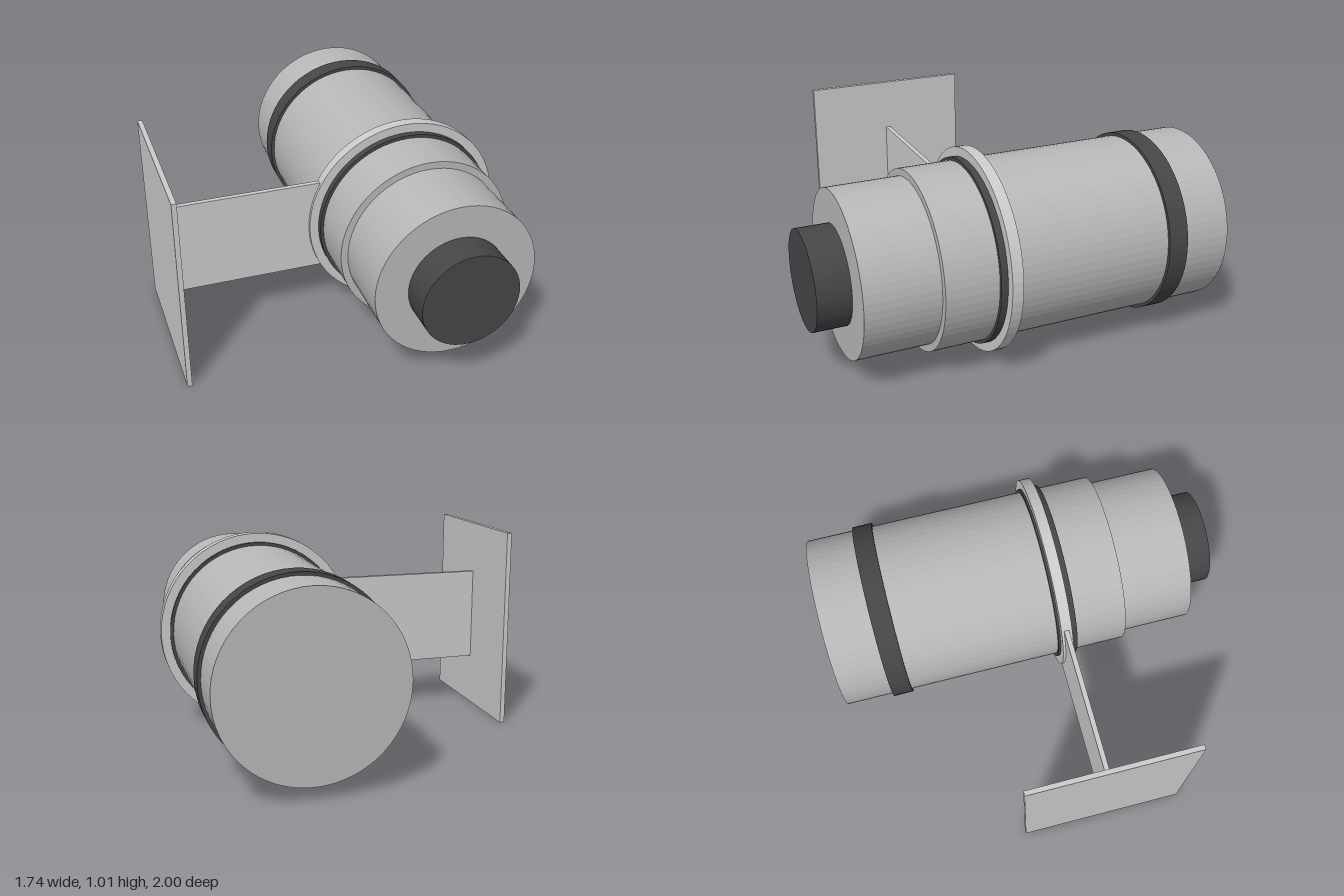
import * as THREE from 'three';

const AXIS_X = 0.37, AXIS_Y = 0.504;

export function createModel() {
  const group = new THREE.Group();
  const material = (color) => new THREE.MeshStandardMaterial({ color, flatShading: true });
  const bodyGrey = material(0xb8b8b8);
  const mountGrey = material(0xcccccc);
  const dark = material(0x444648);

  function add(name, geometry, mat, x, y, z) {
    const mesh = new THREE.Mesh(geometry, mat);
    mesh.name = name;
    mesh.position.set(x, y, z);
    group.add(mesh);
  }

  // Solid disc or barrel along z, centred on the tube axis
  function barrel(name, radius, z0, z1, mat) {
    const geometry = new THREE.CylinderGeometry(radius, radius, z1 - z0, 64);
    geometry.rotateX(Math.PI / 2);
    add(name, geometry, mat, AXIS_X, AXIS_Y, (z0 + z1) / 2);
  }

  // Stepped tube
  barrel('mainBarrel', 0.437, -1, 0.48, bodyGrey);
  barrel('frontBarrel', 0.402, 0.48, 0.84, bodyGrey);
  barrel('frontCap', 0.24, 0.84, 1, dark);

  // Bands and mounting ring around the tube
  barrel('rearBand', 0.453, -0.76, -0.66, dark);
  barrel('ringSeal', 0.453, 0.12, 0.22, dark);
  barrel('mountRing', 0.498, 0.132, 0.187, mountGrey);

  // Side bracket
  add('bracketArm', new THREE.BoxGeometry(0.775, 0.48, 0.025), mountGrey, -0.4575, AXIS_Y, 0.158);
  add('mountPlate', new THREE.BoxGeometry(0.024, 1.007, 0.84), mountGrey, -0.857, AXIS_Y, 0.16);

  return group;
}
